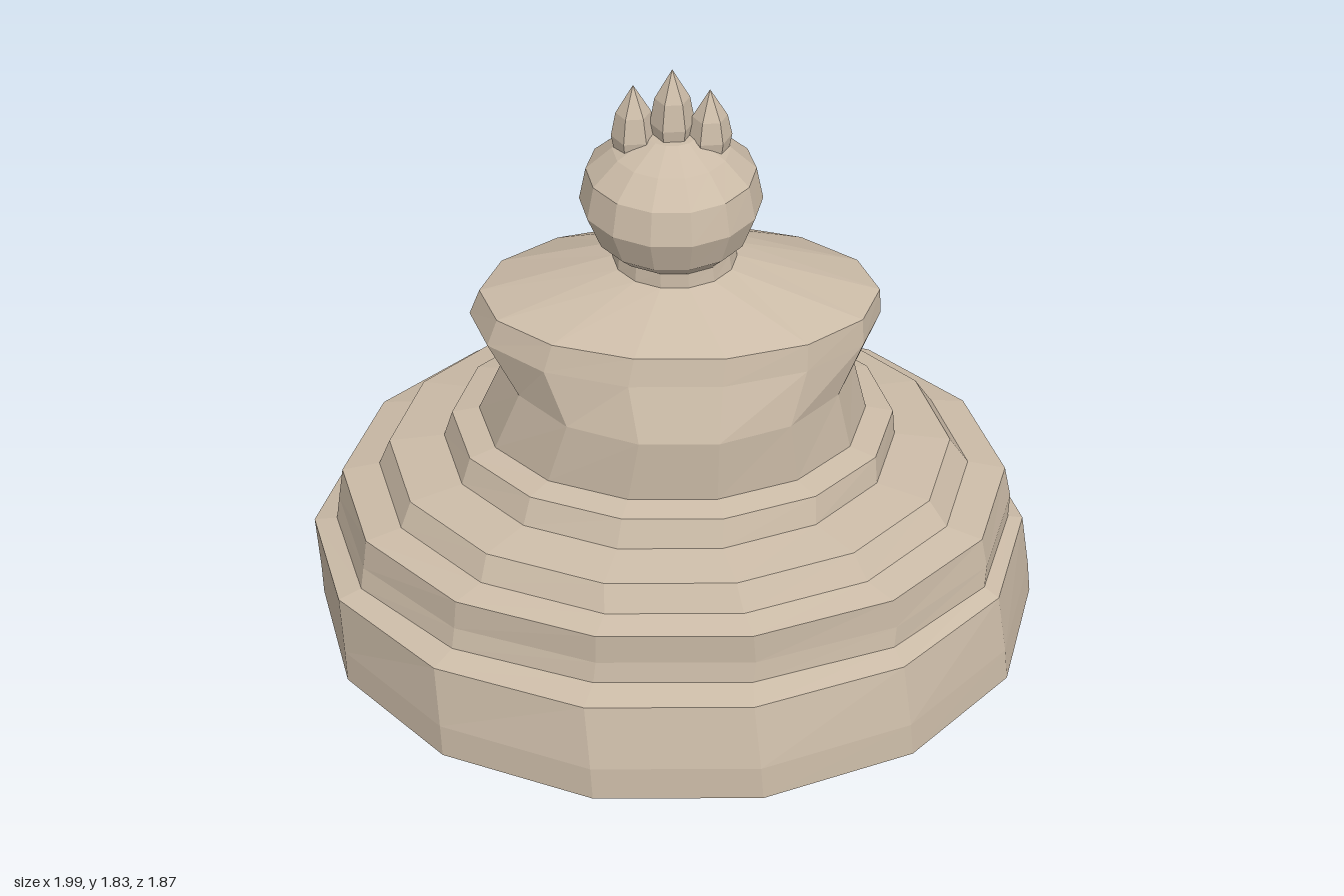
import * as THREE from 'three';

const SIDES = 14;
const TWIST = THREE.MathUtils.degToRad(35); // long axis of every oval ring

// One oval ring: height, long radius, short radius, centre x, centre z
function ringPoints([y, a, b, cx = 0, cz = 0]) {
  const pts = [];
  for (let i = 0; i < SIDES; i++) {
    const t = (i / SIDES) * Math.PI * 2;
    const u = a * Math.cos(t), v = b * Math.sin(t);
    pts.push(
      cx + u * Math.cos(TWIST) - v * Math.sin(TWIST),
      y,
      cz + u * Math.sin(TWIST) + v * Math.cos(TWIST)
    );
  }
  return pts;
}

// Faceted open skin through a list of rings
function loft(rings) {
  const index = [];
  for (let j = 0; j < rings.length - 1; j++) {
    for (let i = 0; i < SIDES; i++) {
      const k = (i + 1) % SIDES;
      const p = j * SIDES + i, q = j * SIDES + k;
      index.push(p, p + SIDES, q, q, p + SIDES, q + SIDES);
    }
  }
  const indexed = new THREE.BufferGeometry();
  indexed.setAttribute('position', new THREE.Float32BufferAttribute(rings.flatMap(ringPoints), 3));
  indexed.setIndex(index);
  const geo = indexed.toNonIndexed();
  geo.computeVertexNormals();
  return geo;
}

export function createModel() {
  const group = new THREE.Group();
  const stone = new THREE.MeshStandardMaterial({ color: 0xcbbba7, flatShading: true, side: THREE.DoubleSide });
  stone.name = 'warm stone';

  const add = (name, geometry) => {
    const mesh = new THREE.Mesh(geometry, stone);
    mesh.name = name;
    group.add(mesh);
    return mesh;
  };

  // Stepped hollow base, torso, neck and head; each part starts on the last ring of the one below
  const parts = [
    ['baseTier', [
      [0, 1.057, 0.869, 0.003, 0],
      [0.11, 1.05, 0.86, -0.005, 0],
      [0.305, 1.035, 0.80, -0.03, 0.005],
    ]],
    ['lowerTerrace', [
      [0.325, 0.978, 0.705, -0.03, 0.025],
      [0.39, 0.975, 0.712, -0.015, 0.015],
      [0.49, 0.956, 0.72, -0.015, 0.01],
    ]],
    ['middleTerrace', [
      [0.51, 0.848, 0.656, -0.012, 0.005],
      [0.585, 0.804, 0.627, -0.015, -0.01],
    ]],
    ['upperTerrace', [
      [0.605, 0.645, 0.508, -0.015, -0.012],
      [0.685, 0.628, 0.48, -0.005, -0.01],
    ]],
    ['torso', [
      [0.70, 0.55, 0.417, -0.004, -0.012],
      [0.90, 0.487, 0.397, -0.006, 0.02],
      [1.05, 0.568, 0.343, -0.01, 0.01],
      [1.13, 0.55, 0.32, -0.002, 0.02],
    ]],
    ['neck', [
      [1.24, 0.17, 0.155, -0.008, 0.005],
      [1.285, 0.165, 0.155, -0.008, 0.003],
    ]],
    ['head', [
      [1.295, 0.175, 0.165, -0.014, 0],
      [1.33, 0.21, 0.20, -0.014, 0],
      [1.43, 0.247, 0.236, -0.016, 0],
      [1.525, 0.228, 0.216, -0.016, 0],
      [1.59, 0.158, 0.152, -0.015, 0],
      [1.635, 0.07, 0.065, -0.013, 0],
      [1.64, 0, 0, -0.013, 0],
    ]],
  ];
  let last = [];
  for (const [name, rings] of parts) {
    add(name, loft([...last, ...rings]));
    last = [rings[rings.length - 1]];
  }

  // Three six-sided spikes on the crown: x, z, base, shoulder and tip heights
  const spikes = [
    ['rightSpike', -0.095, -0.06, 1.57, 1.70, 1.782],
    ['middleSpike', -0.012, 0, 1.61, 1.745, 1.83],
    ['leftSpike', 0.068, 0.058, 1.57, 1.69, 1.77],
  ];
  for (const [name, x, z, base, shoulder, tip] of spikes) {
    const profile = [[0.05, base], [0.06, base + 0.06], [0.047, shoulder], [0, tip]];
    const lathe = new THREE.LatheGeometry(profile.map(([r, y]) => new THREE.Vector2(r, y)), 6);
    add(name, lathe).position.set(x, 0, z);
  }

  return group;
}
